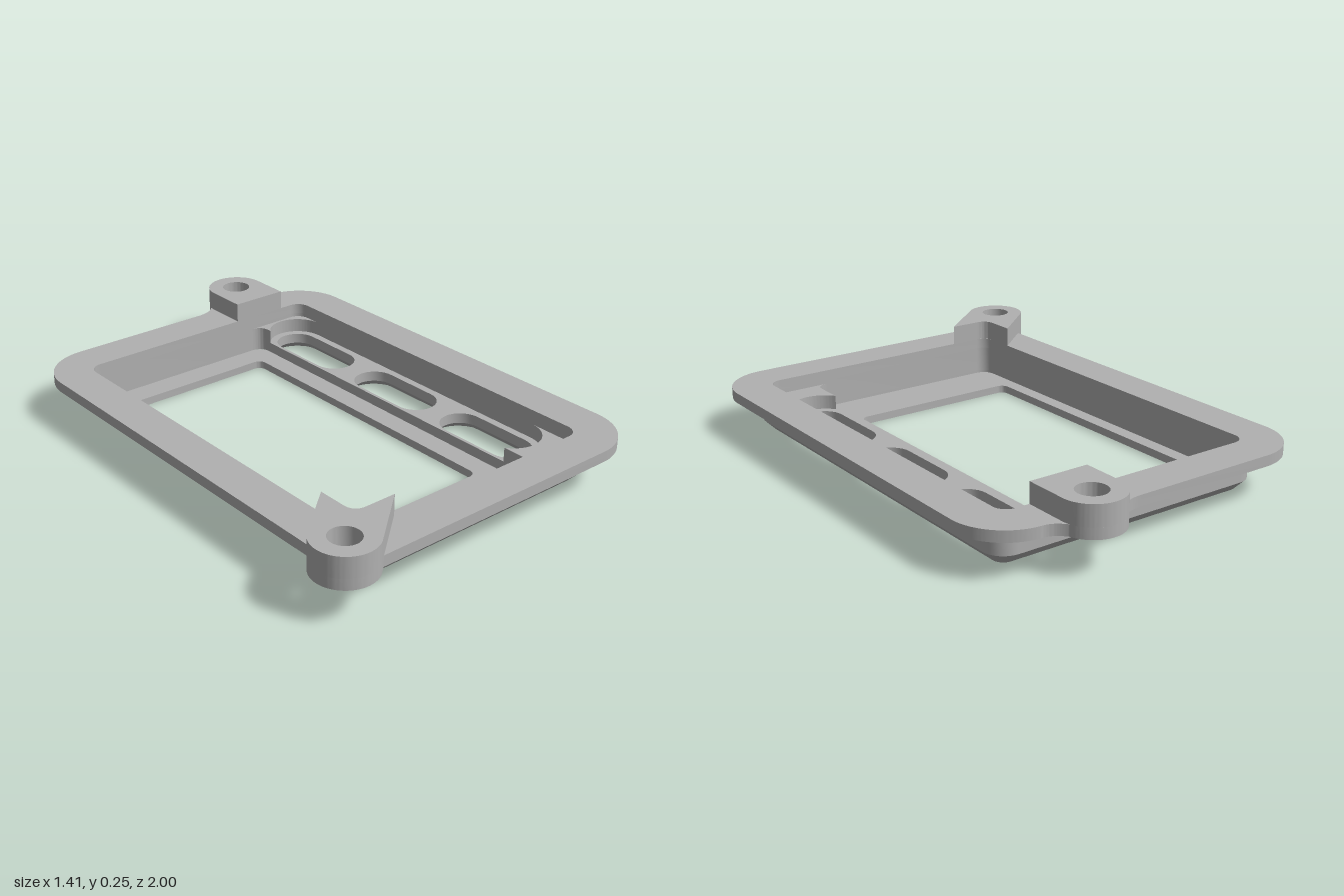
import * as THREE from 'three';
import { toCreasedNormals } from 'three/addons/utils/BufferGeometryUtils.js';

export function createModel() {
  const model = new THREE.Group();
  model.name = 'mountingBezel';
  const grey = new THREE.MeshStandardMaterial({ color: 0xb0b0b0 });
  grey.name = 'plain grey';

  function add(name, geometry) {
    const mesh = new THREE.Mesh(toCreasedNormals(geometry, 0.6), grey);
    mesh.name = name;
    model.add(mesh);
  }

  // Rounded rectangle as a loop of (x, z) points
  function loop(x0, z0, x1, z1, r, n = 8) {
    const pts = [];
    const corners = [[x1 - r, z1 - r], [x0 + r, z1 - r], [x0 + r, z0 + r], [x1 - r, z0 + r]];
    corners.forEach(([cx, cz], k) => {
      for (let i = 0; i <= n; i++) {
        const a = (k + i / n) * Math.PI / 2;
        pts.push(new THREE.Vector2(cx + r * Math.cos(a), cz + r * Math.sin(a)));
      }
    });
    return pts;
  }

  function withHoles(shape, holes) {
    shape.holes = holes.map((h) => (Array.isArray(h) ? new THREE.Path(h) : h));
    return shape;
  }

  // Plan shape raised between two heights
  function slab(name, shape, y0, y1) {
    const g = new THREE.ExtrudeGeometry(shape, { depth: y1 - y0, bevelEnabled: false, curveSegments: 24 });
    add(name, g.rotateX(Math.PI / 2).translate(0, y1, 0));
  }

  // Wall joining a lower loop to an upper loop
  function band(name, low, y0, high, y1, inward) {
    const pos = [], n = low.length;
    for (let i = 0; i < n; i++) {
      const j = (i + 1) % n;
      const a = [low[i].x, y0, low[i].y], b = [high[i].x, y1, high[i].y];
      const c = [low[j].x, y0, low[j].y], d = [high[j].x, y1, high[j].y];
      const tris = inward ? [a, c, b, c, d, b] : [a, b, c, c, b, d];
      tris.forEach((p) => pos.push(...p));
    }
    const g = new THREE.BufferGeometry();
    g.setAttribute('position', new THREE.Float32BufferAttribute(pos, 3));
    g.computeVertexNormals();
    add(name, g);
  }

  const circle = (x, z, r) => new THREE.Path().absarc(x, z, r, 0, Math.PI * 2, false);
  const frontHole = () => circle(-0.595, 0.885, 0.055);
  const backHole = () => circle(0.335, -0.89, 0.055);

  const opening = loop(-0.485, -0.73, 0.55, 0.80, 0.05);
  const window_ = loop(-0.43, -0.63, 0.26, 0.60, 0.03);
  const tub = loop(-0.52, -0.76, 0.59, 0.84, 0.08);
  const tubBottom = loop(-0.48, -0.72, 0.55, 0.80, 0.04);
  const slotEnds = [[-0.69, -0.29], [-0.205, 0.185], [0.27, 0.67]];
  const slots = slotEnds.map(([a, b]) => loop(0.355, a, 0.52, b, 0.082));
  const flares = slotEnds.map(([a, b]) => {
    const pts = loop(0.32, a - 0.035, 0.555, b + 0.035, 0.117);
    pts.forEach((p) => { p.x = Math.min(p.x, 0.548); });
    return pts;
  });

  // Flange, with its outline swelling around the two screw lugs
  const PI = Math.PI;
  const rim = new THREE.Shape();
  rim.moveTo(-0.635, -0.68);
  rim.absarc(-0.435, -0.68, 0.2, PI, 1.5 * PI, false);
  rim.lineTo(0.13, -0.88);
  rim.quadraticCurveTo(0.19, -0.88, 0.226, -0.92);
  rim.absarc(0.335, -0.89, 0.113, PI + 0.27, 2 * PI - 0.27, false);
  rim.quadraticCurveTo(0.475, -0.88, 0.515, -0.8797);
  rim.absarc(0.505, -0.68, 0.2, -1.52, 0, false);
  rim.absarc(0.505, 0.75, 0.2, 0, PI / 2, false);
  rim.lineTo(-0.498, 0.95);
  rim.absarc(-0.595, 0.885, 0.112, 0.872, 0.872 + PI, false);
  rim.lineTo(-0.635, 0.772);
  slab('flange', withHoles(rim, [opening, frontHole(), backHole()]), 0.14, 0.18);

  // Raised lug at the front corner, its arm ending flush with the opening
  const frontLug = new THREE.Shape();
  frontLug.absarc(-0.595, 0.885, 0.112, 0.872, 0.872 + PI, false);
  frontLug.lineTo(-0.485, 0.646);
  frontLug.lineTo(-0.485, 0.75);
  frontLug.quadraticCurveTo(-0.485, 0.8, -0.435, 0.8);
  frontLug.lineTo(-0.319, 0.8);
  slab('frontLug', withHoles(frontLug, [frontHole()]), 0.18, 0.255);

  // Raised lug on the back edge
  const backLug = new THREE.Shape();
  backLug.absarc(0.335, -0.89, 0.113, PI, 2 * PI, false);
  backLug.lineTo(0.448, -0.73);
  backLug.lineTo(0.222, -0.73);
  slab('backLug', withHoles(backLug, [backHole()]), 0.18, 0.255);

  // Tub walls and chamfered foot
  slab('tubWall', withHoles(new THREE.Shape(tub), [opening]), 0.04, 0.14);
  band('innerWallFoot', opening, 0.03, opening, 0.04, true);
  band('chamfer', tubBottom, 0, tub, 0.04, false);
  const under = new THREE.ShapeGeometry(withHoles(new THREE.Shape(tubBottom), [window_, ...flares]));
  add('underside', under.rotateX(PI / 2));

  // Main floor with its window
  const floor = new THREE.Shape(loop(-0.485, -0.73, 0.343, 0.80, 0.05));
  slab('floor', withHoles(floor, [window_]), 0.027, 0.03);
  band('windowEdge', window_, 0, window_, 0.027, true);

  // Raised side lane with three slots flared underneath
  const lane = new THREE.Shape(loop(0.343, -0.73, 0.55, 0.80, 0.005));
  slab('slotLane', withHoles(lane, slots), 0.03, 0.07);
  slots.forEach((s, i) => band('slotFlare', flares[i], 0, s, 0.03, true));

  // Blocks closing the two ends of the lane with a curved face
  for (const [edge, centre, s] of [[0.8, 0.5875, 1], [-0.73, -0.6075, -1]]) {
    const end = new THREE.Shape();
    end.moveTo(0.293, edge);
    end.lineTo(0.55, edge);
    end.lineTo(0.55, centre);
    end.absarc(0.4375, centre, 0.1125, 0, s * 2.57, s < 0);
    end.lineTo(0.343, edge - s * 0.05);
    end.quadraticCurveTo(0.343, edge, 0.293, edge);
    slab('laneEnd', end, 0.03, 0.125);
  }

  return model;
}
